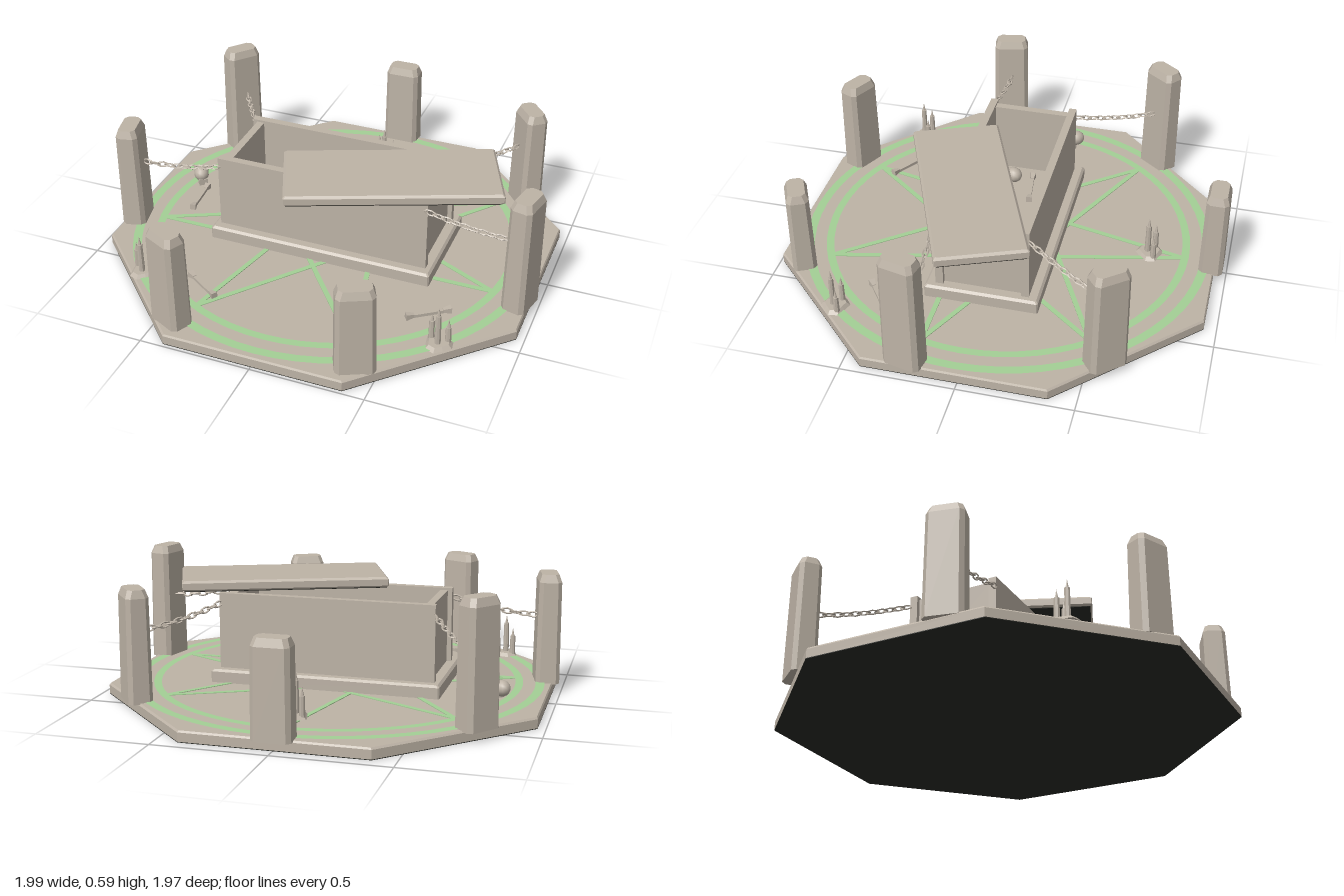
import * as THREE from 'three';

const CZ = 0.02;      // centre of the ritual circle in z
const TOP = 0.05;     // top of the floor slab

const mat = (name, color, side = THREE.FrontSide) => {
  const m = new THREE.MeshStandardMaterial({ color, side });
  m.name = name;
  return m;
};

// Stack of rectangular rings with cut corners: levels are [y, inset] pairs
function cutBlock(w, d, cut, levels) {
  const ring = ([y, inset]) => {
    const x = w / 2 - inset, z = d / 2 - inset, c = cut;
    return [[x, -z + c], [x, z - c], [x - c, z], [-x + c, z],
      [-x, z - c], [-x, -z + c], [-x + c, -z], [x - c, -z]].map(([px, pz]) => [px, y, pz]);
  };
  const rings = levels.map(ring);
  const pos = [];
  const tri = (...p) => p.forEach(v => pos.push(...v));
  for (let k = 0; k + 1 < rings.length; k++) {
    const a = rings[k], b = rings[k + 1];
    for (let i = 0; i < 8; i++) {
      const j = (i + 1) % 8;
      tri(a[i], b[i], a[j]);
      tri(b[i], b[j], a[j]);
    }
  }
  const lo = rings[0], hi = rings[rings.length - 1];
  for (let i = 1; i < 7; i++) {
    tri(lo[0], lo[i], lo[i + 1]);
    tri(hi[0], hi[i + 1], hi[i]);
  }
  const g = new THREE.BufferGeometry();
  g.setAttribute('position', new THREE.Float32BufferAttribute(pos, 3));
  g.computeVertexNormals();
  return g;
}

export function createModel() {
  const root = new THREE.Group();
  root.name = 'ritualTomb';
  const stone = mat('stone', 0xbdb3a6);
  const dark = mat('darkUnderside', 0x292a25);
  const glow = mat('paleGreenPaint', 0xa3cf95, THREE.DoubleSide);

  const add = (name, geo, material, x = 0, y = 0, z = 0, parent = root) => {
    const m = new THREE.Mesh(geo, material);
    m.name = name;
    m.position.set(x, y, z);
    parent.add(m);
    return m;
  };
  const group = (name, x, y, z, ry = 0, parent = root) => {
    const g = new THREE.Group();
    g.name = name;
    g.position.set(x, y, z);
    g.rotation.y = ry;
    parent.add(g);
    return g;
  };
  const box = (w, h, d) => new THREE.BoxGeometry(w, h, d);
  const flat = g => { const n = g.toNonIndexed(); n.computeVertexNormals(); return n; };

  // Eight-sided floor slab with a dark underside
  add('floorSlab', cutBlock(1.93, 1.93, 0.565, [[0.003, 0], [0.042, 0], [TOP, 0.005]]), stone, 0, 0, CZ);
  add('slabUnderside', cutBlock(1.93, 1.93, 0.565, [[0, 0], [0.003, 0]]), dark, 0, 0, CZ);

  // Painted double ring and seven-pointed star
  for (const [inner, outer] of [[0.81, 0.845], [0.9, 0.94]]) {
    const r = add('paintedRing', new THREE.RingGeometry(inner, outer, 64), glow, 0, TOP + 0.003, CZ);
    r.rotation.x = -Math.PI / 2;
  }
  const angle = i => -Math.PI / 2 + i * Math.PI * 2 / 7;
  const tip = i => [Math.cos(angle(i)) * 0.82, Math.sin(angle(i)) * 0.82 + CZ];
  for (let i = 0; i < 7; i++) {
    const [ax, az] = tip(i), [bx, bz] = tip(i + 3);
    const line = add('paintedStarLine', box(Math.hypot(bx - ax, bz - az), 0.004, 0.022), glow,
      (ax + bx) / 2, TOP + 0.001, (az + bz) / 2);
    line.rotation.y = -Math.atan2(bz - az, bx - ax);
  }

  // Seven standing stones, clockwise from the back
  [0.46, 0.54, 0.59, 0.45, 0.5, 0.545, 0.59].forEach((top, i) => {
    const a = angle(i);
    const g = cutBlock(0.17, 0.108, 0.018,
      [[0.045, 0], [top - 0.035, 0.004], [top, 0.016]]);
    const p = add('standingStone', g, stone, Math.cos(a) * 0.95, 0, Math.sin(a) * 0.95 + CZ);
    p.rotation.y = Math.PI / 2 - a;
  });

  // Open stone coffin on a plinth
  const coffin = group('coffin', 0.003, 0, 0.016);
  add('plinth', cutBlock(1.05, 0.51, 0.006, [[TOP, 0], [0.1, 0], [0.11, 0.01]]), stone, 0, 0, 0, coffin);
  for (const s of [-1, 1]) {
    add('coffinSideWall', box(0.99, 0.345, 0.035), stone, 0, 0.2825, s * 0.192, coffin);
    add('coffinEndWall', box(0.035, 0.335, 0.35), stone, s * 0.457, 0.2775, 0, coffin);
  }
  // Slanted lid slid off to one side
  const lid = group('lid', 0.298, 0, 0.125, 0.387);
  add('lidSlab', cutBlock(0.94, 0.393, 0.004, [[0.458, 0.008], [0.466, 0], [0.495, 0], [0.505, 0.01]]), stone, 0, 0, 0, lid);
  add('lidUnderside', cutBlock(0.94, 0.393, 0.004, [[0.455, 0.009], [0.458, 0.008]]), dark, 0, 0, 0, lid);

  // Sagging chains from the coffin corners to the stones
  const linkGeo = flat(new THREE.TorusGeometry(0.012, 0.004, 4, 8));
  linkGeo.scale(2, 1, 1);
  linkGeo.computeVertexNormals();
  function chain(from, to) {
    const mid = from.clone().lerp(to, 0.55);
    mid.y -= 0.025;
    const curve = new THREE.QuadraticBezierCurve3(from, mid, to);
    const n = Math.round(curve.getLength() / 0.038);
    const c = group('chain', 0, 0, 0);
    for (let i = 0; i < n; i++) {
      const t = (i + 0.5) / n, p = curve.getPointAt(t);
      const link = add('chainLink', linkGeo, stone, p.x, p.y, p.z, c);
      link.quaternion.setFromUnitVectors(new THREE.Vector3(1, 0, 0), curve.getTangentAt(t));
      if (i % 2) link.rotateX(Math.PI / 2);
    }
  }
  for (const s of [-1, 1]) {
    chain(new THREE.Vector3(s * 0.49, 0.41, -0.19), new THREE.Vector3(s * 0.7, 0.355, -0.54));
    chain(new THREE.Vector3(s * 0.49, 0.41, 0.225), new THREE.Vector3(s * 0.88, 0.35, 0.215));
  }

  // Candle clusters on pools of wax
  const wax = flat(new THREE.CylinderGeometry(0.045, 0.06, 0.016, 9));
  const wp = wax.attributes.position;
  for (let i = 0; i < wp.count; i++) {
    const k = 1 + 0.15 * Math.cos(3 * Math.atan2(wp.getZ(i), wp.getX(i)) + 0.6);
    wp.setXYZ(i, wp.getX(i) * k, wp.getY(i), wp.getZ(i) * k);
  }
  wax.computeVertexNormals();
  for (const [x, z] of [[0, -0.645], [-0.685, 0.625], [0.685, 0.625]]) {
    const c = group('candles', x, TOP, z);
    add('waxPool', wax, stone, 0, 0.008, 0, c);
    for (const [cx, cz, h] of [[-0.036, -0.02, 0.1], [0, 0.01, 0.155], [0.036, -0.02, 0.085]]) {
      add('candle', flat(new THREE.CylinderGeometry(0.012, 0.014, h, 8)), stone, cx, h / 2, cz, c);
      add('flame', flat(new THREE.ConeGeometry(0.008, 0.04, 6)), stone, cx, h + 0.02, cz, c);
    }
  }

  // Skulls
  for (const [x, y, z, ry] of [[-0.78, TOP, -0.145, 0.7], [-0.31, 0.11, 0.07, -0.4]]) {
    const s = group('skull', x, y, z, ry);
    const cranium = add('cranium', new THREE.SphereGeometry(0.038, 12, 9), stone, 0, 0.046, 0, s);
    cranium.scale.set(0.95, 0.95, 1.1);
    add('jaw', box(0.042, 0.03, 0.03), stone, 0, 0.016, 0.024, s);
  }

  // Loose bones: centre x, base y, centre z, turn
  for (const [x, y, z, ry] of [[-0.715, TOP, 0, 1.66], [-0.39, TOP, 0.63, -0.57],
    [0.59, TOP, 0.46, 0.62], [-0.27, 0.11, -0.025, 0.13], [0.25, 0.11, -0.08, 0.35]]) {
    const b = group('bone', x, y, z, ry);
    add('shaft', box(0.15, 0.014, 0.016), stone, 0, 0.012, 0, b);
    for (const s of [-1, 1]) {
      const knob = flat(new THREE.CylinderGeometry(0.02, 0.011, 0.035, 4));
      knob.rotateY(Math.PI / 4);
      knob.rotateZ(-s * Math.PI / 2);
      add('boneEnd', knob, stone, s * 0.083, 0.014, 0, b);
    }
  }
  return root;
}
